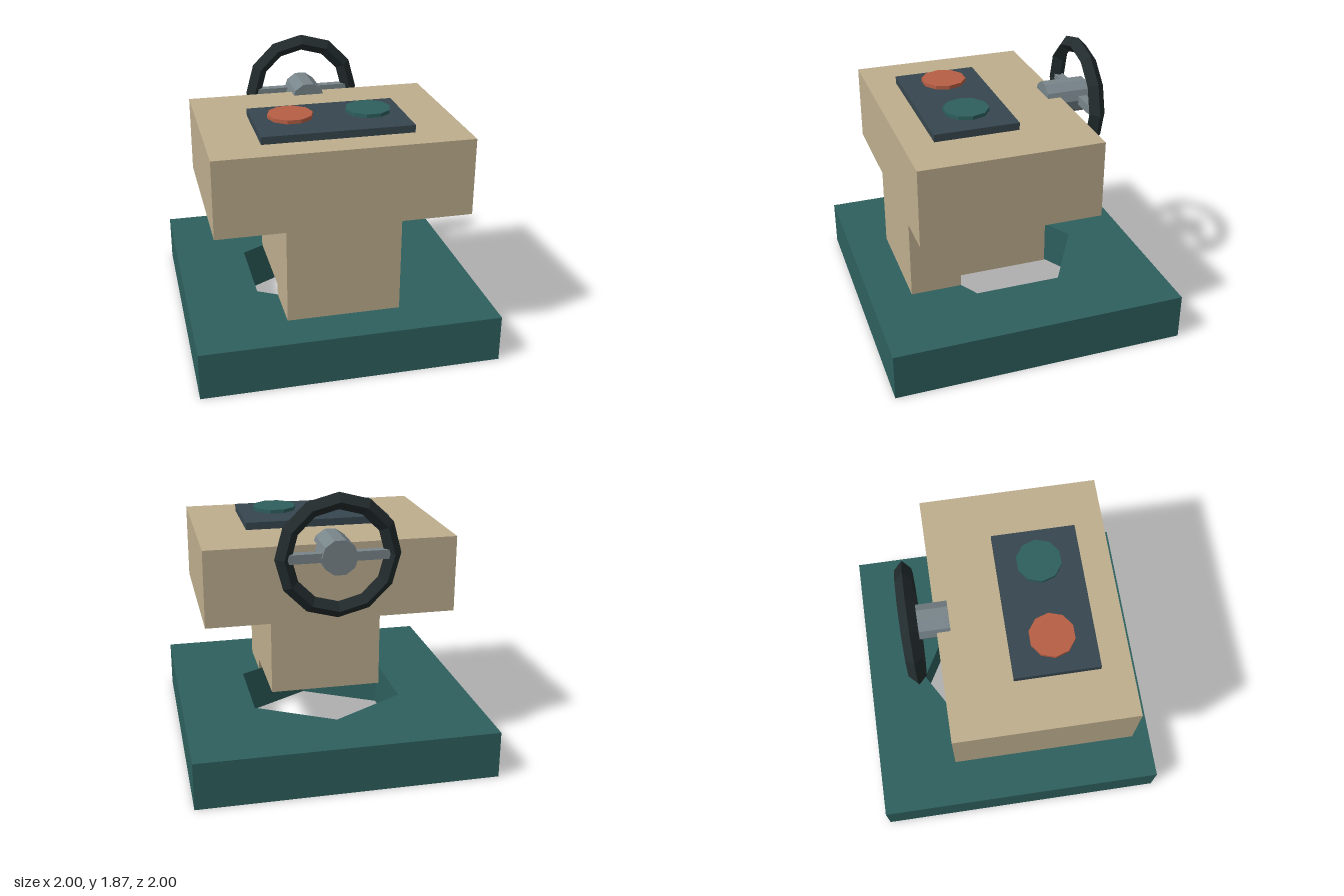
import * as THREE from 'three';

const mat = (color) => new THREE.MeshStandardMaterial({ color, flatShading: true });
const TAN = mat(0xbeae8e), TEAL = mat(0x2e605e), SLATE = mat(0x37474f);
const RED = mat(0xb85f45), RUBBER = mat(0x222b2d), STEEL = mat(0x78858a);
const HOLE = 0.59; // circumradius of the hexagonal opening

export function createModel() {
  const model = new THREE.Group();
  model.name = 'controlConsole';

  const add = (name, geometry, material, x = 0, y = 0, z = 0, parent = model) => {
    const mesh = new THREE.Mesh(geometry, material);
    mesh.name = name;
    mesh.position.set(x, y, z);
    parent.add(mesh);
    return mesh;
  };
  // box given by its lower and upper corners
  const block = (name, material, [x0, y0, z0], [x1, y1, z1]) =>
    add(name, new THREE.BoxGeometry(x1 - x0, y1 - y0, z1 - z0), material,
      (x0 + x1) / 2, (y0 + y1) / 2, (z0 + z1) / 2);
  // upright slab from a plan outline drawn as (x, -z)
  const slab = (name, shape, material, y, height) => {
    const geo = new THREE.ExtrudeGeometry(shape, { depth: height, bevelEnabled: false });
    return add(name, geo.rotateX(-Math.PI / 2), material, 0, y, 0);
  };
  const points = (list) => list.map(([x, z]) => new THREE.Vector2(x, -z));

  // Base plate with a hexagonal opening
  const plate = new THREE.Shape(points([[-1, 1], [1, 1], [1, -1], [-1, -1]]));
  const hexagon = Array.from({ length: 6 }, (_, i) => [
    HOLE * Math.sin(i * Math.PI / 3), HOLE * Math.cos(i * Math.PI / 3)]);
  plate.holes.push(new THREE.Path(points(hexagon)));
  slab('basePlate', plate, TEAL, 0, 0.32);

  // Pedestal: its foot follows the edge of the opening, the rest overhangs it
  const edge = HOLE - 0.38 / Math.sqrt(3);
  const foot = new THREE.Shape(points(
    [[-0.38, 0.72], [0.38, 0.72], [0.38, edge], [0, HOLE], [-0.38, edge]]));
  slab('pedestalFoot', foot, TAN, 0.32, 0.08);
  block('pedestal', TAN, [-0.38, 0.4, -0.24], [0.38, 0.98, 0.72]);

  // Head and button panel
  block('consoleHead', TAN, [-0.84, 0.98, -0.44], [0.84, 1.5, 0.76]);
  block('buttonPanel', SLATE, [-0.5, 1.5, 0], [0.5, 1.55, 0.56]);
  for (const [name, x, material] of [['redButton', -0.26, RED], ['greenButton', 0.26, TEAL]]) {
    const disc = new THREE.CylinderGeometry(0.15, 0.15, 0.025, 10).rotateY(Math.PI / 2);
    add(name, disc, material, x, 1.583, 0.28);
  }

  // Steering wheel on the back
  const wheel = new THREE.Group();
  wheel.name = 'steeringWheel';
  wheel.position.set(0, 1.462, -0.6);
  model.add(wheel);
  add('wheelRim', new THREE.TorusGeometry(0.355, 0.055, 4, 12), RUBBER, 0, 0, 0, wheel);
  const hub = new THREE.CylinderGeometry(0.118, 0.118, 0.3, 10).rotateY(Math.PI / 2).rotateX(Math.PI / 2);
  add('wheelHub', hub, STEEL, 0, 0, 0.1, wheel);
  add('wheelSpoke', new THREE.BoxGeometry(0.7, 0.06, 0.06), STEEL, 0, 0, 0, wheel);

  return model;
}
